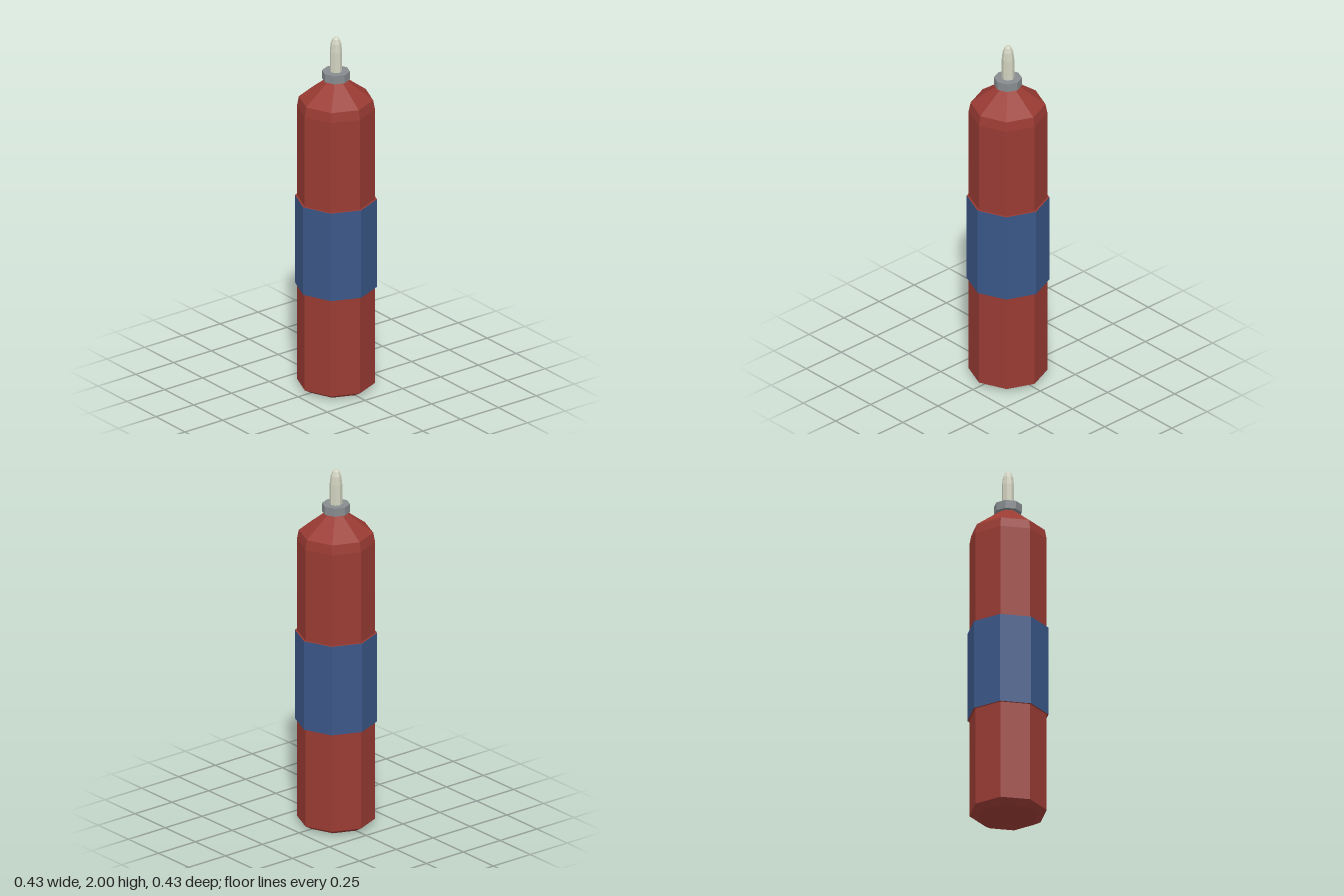
import * as THREE from 'three';

const SIDES = 8;

function material(name, color) {
  const m = new THREE.MeshStandardMaterial({ color, flatShading: true });
  m.name = name;
  return m;
}

// Eight-sided turned part from [radius, height] pairs, listed bottom to top
function turned(name, profile, mat) {
  const points = profile.map(([r, y]) => new THREE.Vector2(r, y));
  const mesh = new THREE.Mesh(new THREE.LatheGeometry(points, SIDES), mat);
  mesh.name = name;
  return mesh;
}

export function createModel() {
  const red = material('red casing', 0x9a3b33);
  const blue = material('blue band', 0x3a5788);
  const grey = material('grey metal', 0x878c8f);
  const pale = material('pale metal', 0xd2d3c0);

  const model = new THREE.Group();
  model.name = 'canister';
  model.add(
    // Casing below the band, with bevelled foot and red ledge under the band
    turned('lowerCasing', [[0, 0], [0.165, 0], [0.207, 0.025], [0.207, 0.577], [0.217, 0.577]], red),
    // Raised band around the middle
    turned('band', [[0.217, 0.577], [0.217, 1.08]], blue),
    // Casing above the band, with bevelled shoulder and cone
    turned('upperCasing', [[0.217, 1.08], [0.207, 1.08], [0.207, 1.595], [0.197, 1.648], [0.05, 1.76], [0, 1.76]], red),
    // Collar under the nozzle
    turned('collar', [[0, 1.76], [0.074, 1.76], [0.074, 1.806], [0, 1.806]], grey),
    // Rounded nozzle
    turned('nozzle', [[0.033, 1.806], [0.033, 1.92], [0.028, 1.965], [0.019, 1.99], [0.008, 2], [0, 2]], pale),
  );
  return model;
}
